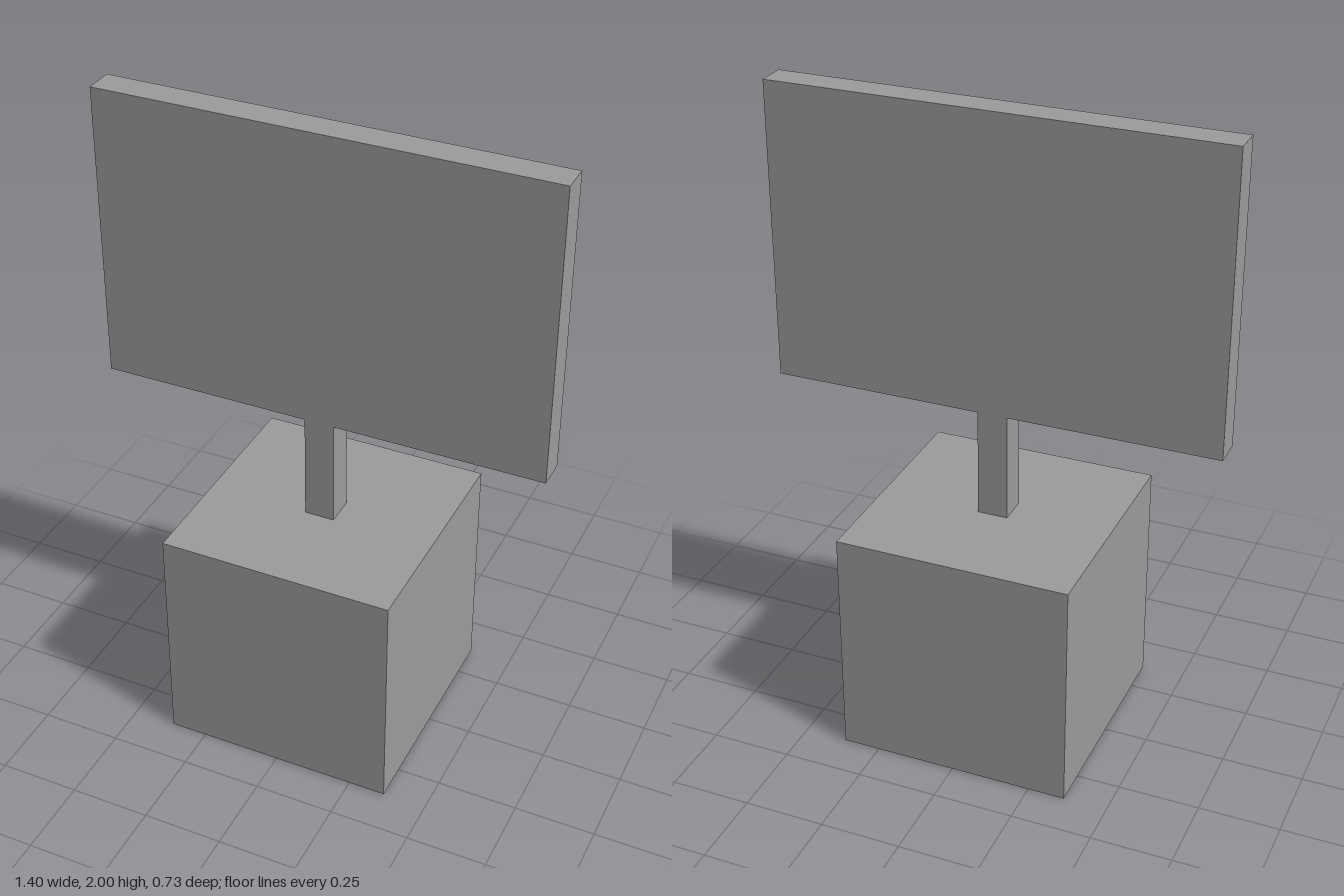
import * as THREE from 'three';

const material = new THREE.MeshStandardMaterial({ color: 0x9c9c9c, flatShading: true });

// Box centred on x and z, spanning bottom to top in y
function block(name, width, depth, bottom, top) {
  const mesh = new THREE.Mesh(new THREE.BoxGeometry(width, top - bottom, depth), material);
  mesh.name = name;
  mesh.position.y = (bottom + top) / 2;
  return mesh;
}

export function createModel() {
  const group = new THREE.Group();
  group.name = 'signOnBlock';
  const baseTop = 0.73;
  const panelBottom = 1.07;
  const thickness = 0.094;

  group.add(
    block('base', 0.73, 0.73, 0, baseTop),
    block('post', thickness, thickness, baseTop, panelBottom),
    block('panel', 1.403, thickness, panelBottom, 2),
  );
  return group;
}
